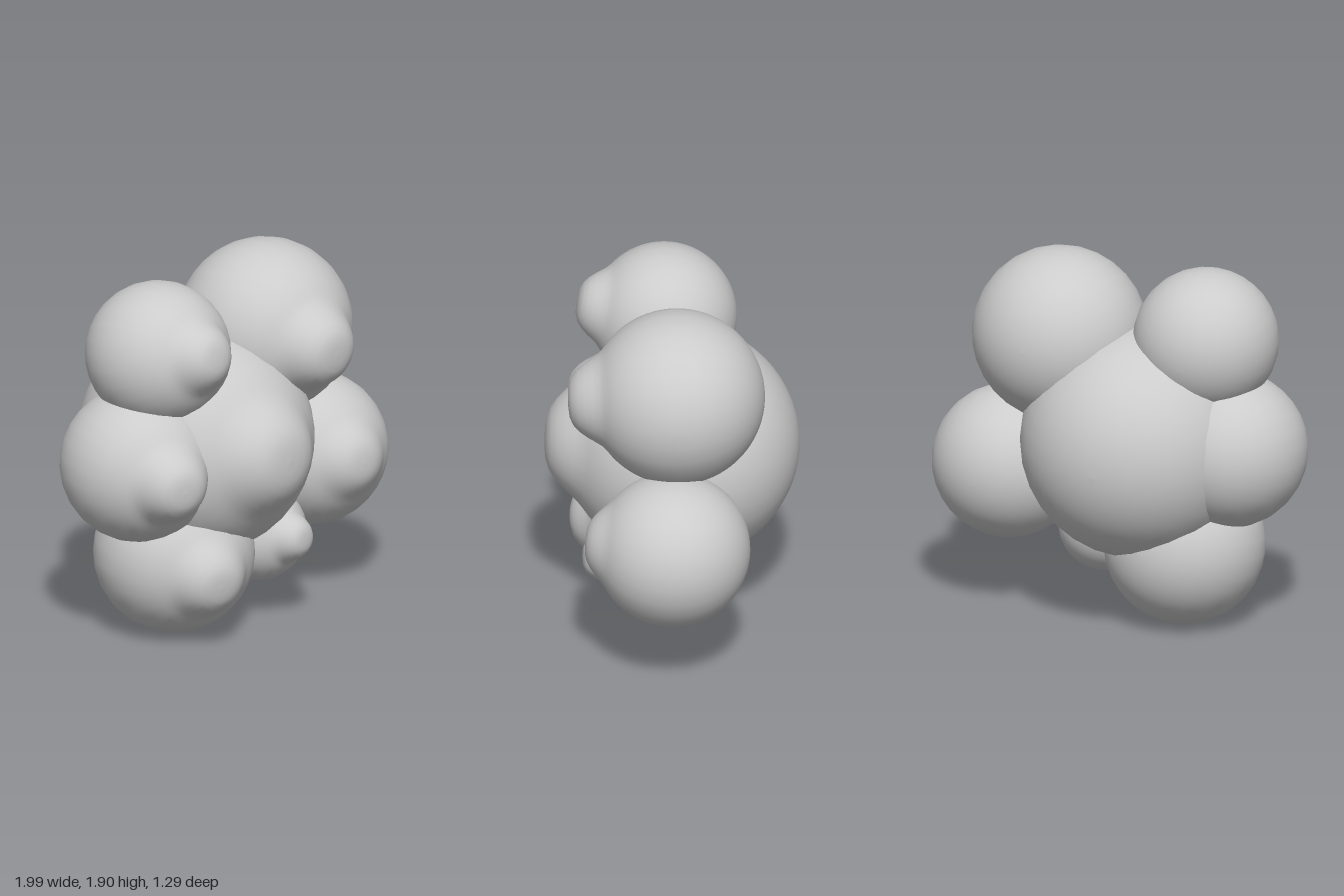
import * as THREE from 'three';

const material = new THREE.MeshStandardMaterial({ color: 0xcccccc });
const UP = new THREE.Vector3(0, 1, 0);

// name, centre, radius, direction of the bump (x, y offset from centre), bump height
const CELLS = [
  ['centralCell', [-0.13, 0.95, -0.045], 0.6, [-0.02, 0.03], 0.09],
  ['upperLeftCell', [0.315, 1.452, 0.005], 0.446, [-0.03, -0.02], 0.105],
  ['upperRightCell', [-0.47, 1.5, 0.02], 0.37, [-0.01, 0.07], 0.075],
  ['sideRightCell', [-0.6, 0.94, 0.01], 0.4, [-0.12, -0.01], 0.095],
  ['sideLeftCell', [0.605, 0.732, 0.045], 0.393, [-0.05, 0.03], 0.05],
  ['lowerRightCell', [-0.355, 0.41, 0.02], 0.41, [-0.11, -0.05], 0.075],
  ['lowerLeftCell', [0.115, 0.43, 0.15], 0.25, [0.02, 0.02], 0.07],
];

// Sphere with a smooth rounded bump at its pole
function bumpedSphere(radius, height) {
  const rings = 40;
  const profile = [];
  for (let i = 0; i <= rings; i++) {
    const angle = Math.PI * (1 - i / rings); // measured from the bump's pole
    const fade = 1 - THREE.MathUtils.smoothstep(angle, 0.15, 0.62);
    const r = radius + height * fade;
    const across = i === 0 || i === rings ? 0 : r * Math.sin(angle);
    profile.push(new THREE.Vector2(across, r * Math.cos(angle)));
  }
  return new THREE.LatheGeometry(profile, 28);
}

export function createModel() {
  const group = new THREE.Group();
  group.name = 'cellCluster';
  for (const [name, centre, radius, [dx, dy], height] of CELLS) {
    const cell = new THREE.Mesh(bumpedSphere(radius, height), material);
    cell.name = name;
    cell.position.set(...centre);
    // Turn the pole towards the front, tilted a little
    const direction = new THREE.Vector3(dx, dy, radius).normalize();
    cell.quaternion.setFromUnitVectors(UP, direction);
    group.add(cell);
  }
  return group;
}
